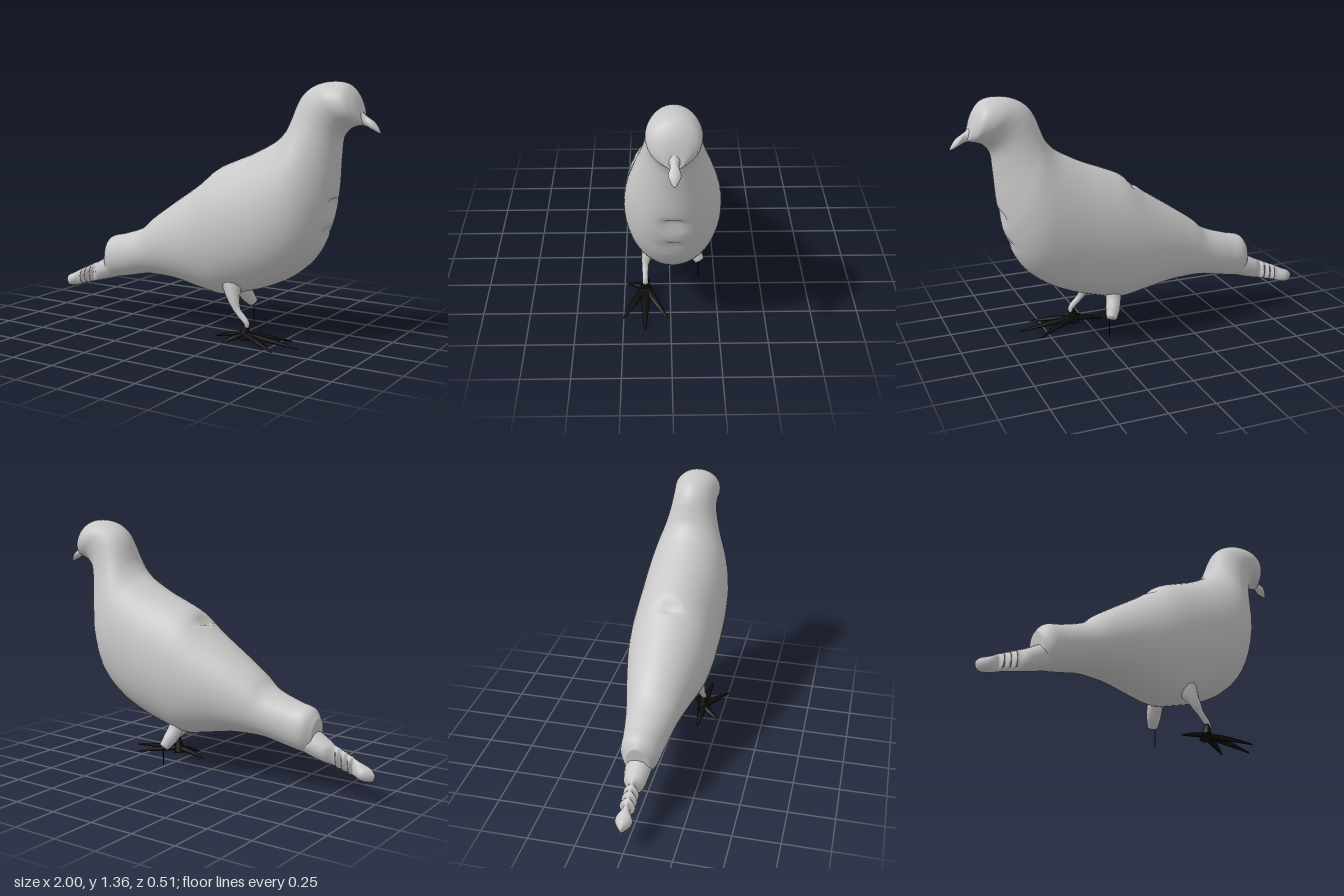
import * as THREE from 'three';

const plumage = new THREE.MeshStandardMaterial({ color: 0xc8c8c8 });
plumage.name = 'pale grey';
const claw = new THREE.MeshStandardMaterial({ color: 0x0c0c0c });
claw.name = 'black';

const V = (x, y, z = 0) => new THREE.Vector3(x, y, z);

// Skin over elliptical rings {c, a, b}: centre and the two half axes; both ends are closed.
function loft(rings, sides, rule) {
  const zero = V(0, 0, 0);
  const first = rings[0], last = rings[rings.length - 1];
  const all = [{ c: first.c, a: zero, b: zero }, ...rings, { c: last.c, a: zero, b: zero }];
  const pos = [], index = [];
  for (const { c, a, b } of all) {
    for (let j = 0; j < sides; j++) {
      const t = (j / sides) * Math.PI * 2;
      const p = c.clone().addScaledVector(a, Math.cos(t)).addScaledVector(b, Math.sin(t));
      if (rule) rule(p, c);
      pos.push(p.x, p.y, p.z);
    }
  }
  for (let i = 0; i < all.length - 1; i++) {
    for (let j = 0; j < sides; j++) {
      const k = (j + 1) % sides;
      const p = i * sides + j, q = i * sides + k;
      if (i > 0) index.push(p, q, p + sides);
      if (i < all.length - 2) index.push(q, q + sides, p + sides);
    }
  }
  // the first strip is a fan from the collapsed ring
  for (let j = 0; j < sides; j++) index.push(j, sides + (j + 1) % sides, sides + j);
  const g = new THREE.BufferGeometry();
  g.setAttribute('position', new THREE.Float32BufferAttribute(pos, 3));
  g.setIndex(index.slice(0));
  g.computeVertexNormals();
  return g;
}

// Rows of [topX, topY, bottomX, bottomY, halfWidth], smoothed into rings.
function profile(rows, steps, z = -0.01) {
  const curve = (f) => new THREE.CatmullRomCurve3(rows.map(f));
  const top = curve((r) => V(r[0], r[1])), low = curve((r) => V(r[2], r[3]));
  const wide = curve((r, i) => V(i * 0.1, r[4]));
  return Array.from({ length: steps + 1 }, (_, i) => {
    const t = i / steps, p = top.getPoint(t), q = low.getPoint(t);
    const c = p.clone().add(q).multiplyScalar(0.5);
    c.z = z;
    return { c, a: p.sub(q).multiplyScalar(0.5), b: V(0, 0, wide.getPoint(t).y) };
  });
}

// Tapered limb through points with a radius at each one.
function limb(points, radii, steps = 12, sides = 10, flat = 1) {
  const curve = new THREE.CatmullRomCurve3(points);
  const rings = [];
  for (let i = 0; i <= steps; i++) {
    const t = i / steps, f = t * (radii.length - 1), k = Math.min(Math.floor(f), radii.length - 2);
    const r = THREE.MathUtils.lerp(radii[k], radii[k + 1], f - k);
    const dir = curve.getTangent(t);
    const side = Math.abs(dir.y) > 0.9 ? V(1, 0, 0) : V(0, 1, 0);
    const a = side.addScaledVector(dir, -side.dot(dir)).normalize();
    const b = dir.clone().cross(a);
    rings.push({ c: curve.getPoint(t), a: a.multiplyScalar(r * flat), b: b.multiplyScalar(r) });
  }
  return loft(rings, sides);
}

export function createModel() {
  const bird = new THREE.Group();
  bird.name = 'bird';
  const add = (name, geometry, material, parent = bird) => {
    const m = new THREE.Mesh(geometry, material);
    m.name = name;
    parent.add(m);
  };

  // Body, neck and head, from the rump forward
  const bodyRows = [
    [-0.68, 0.40, -0.655, 0.205, 0.06], [-0.64, 0.45, -0.6, 0.215, 0.10],
    [-0.55, 0.475, -0.5, 0.235, 0.113], [-0.4, 0.53, -0.38, 0.26, 0.135],
    [-0.33, 0.59, -0.28, 0.262, 0.155], [-0.2, 0.68, -0.16, 0.255, 0.187],
    [-0.02, 0.80, 0, 0.225, 0.225], [0.1, 0.895, 0.13, 0.205, 0.24],
    [0.2, 0.94, 0.26, 0.235, 0.246], [0.3, 0.98, 0.4, 0.28, 0.248],
    [0.4, 1.03, 0.54, 0.35, 0.246], [0.47, 1.075, 0.66, 0.46, 0.235],
    [0.515, 1.13, 0.735, 0.63, 0.207], [0.54, 1.19, 0.77, 0.8, 0.17],
    [0.56, 1.245, 0.785, 0.97, 0.142], [0.59, 1.295, 0.80, 1.08, 0.128],
    [0.64, 1.335, 0.835, 1.125, 0.126], [0.72, 1.36, 0.865, 1.14, 0.13],
    [0.82, 1.352, 0.885, 1.145, 0.115], [0.87, 1.30, 0.90, 1.147, 0.08],
    [0.895, 1.24, 0.915, 1.148, 0.045],
  ];
  // Small creases pressed into breast and back: centre, reach per axis, depth
  const dents = [
    [V(0.745, 0.73, -0.01), V(0.1, 0.05, 0.09), 0.05],
    [V(0.70, 0.59, -0.01), V(0.1, 0.025, 0.1), 0.04],
    [V(0.04, 0.85, -0.01), V(0.03, 0.1, 0.09), 0.04],
  ];
  const press = (p, c) => {
    for (const [o, reach, depth] of dents) {
      const d = p.clone().sub(o).divide(reach).length();
      if (d < 1) p.addScaledVector(c.clone().sub(p).normalize(), depth * (1 - d));
    }
  };
  add('body', loft(profile(bodyRows, 120), 48, press), plumage);

  // Beak, hooked slightly down
  add('beak', loft(profile([
    [0.88, 1.235, 0.88, 1.145, 0.045], [0.92, 1.20, 0.92, 1.145, 0.02],
    [0.96, 1.172, 0.96, 1.128, 0.03], [0.985, 1.145, 0.985, 1.116, 0.018],
    [1.0, 1.118, 0.998, 1.11, 0.004],
  ], 16), 12), plumage);

  // Tail, pinched into folds towards its tip
  const tailRows = [
    [-1.0, 0.16, -0.99, 0.125, 0.006], [-0.975, 0.185, -0.965, 0.118, 0.03],
    [-0.94, 0.20, -0.93, 0.122, 0.045], [-0.885, 0.228, -0.88, 0.137, 0.016],
  ];
  for (let i = 0; i < 6; i++) {
    const x = -0.868 + i * 0.018, rise = x + 0.885;
    tailRows.push([x, 0.228 + rise * 0.46, x, 0.137 + rise * 0.27, i % 2 ? 0.018 : 0.042]);
  }
  tailRows.push([-0.74, 0.295, -0.73, 0.178, 0.055], [-0.66, 0.34, -0.65, 0.2, 0.07],
    [-0.58, 0.38, -0.56, 0.23, 0.07]);
  add('tail', loft(profile(tailRows, 60), 12), plumage);

  // Standing leg on the +z side
  const left = new THREE.Group();
  left.name = 'leftLeg';
  bird.add(left);
  add('leftShank', limb(
    [V(0.22, 0.31, 0.09), V(0.255, 0.215, 0.125), V(0.285, 0.16, 0.135), V(0.34, 0.1, 0.135), V(0.335, 0.08, 0.135)],
    [0.06, 0.032, 0.018, 0.016, 0.016], 16), plumage, left);
  add('leftAnkle', limb([V(0.335, 0.1, 0.135), V(0.33, 0.06, 0.135), V(0.325, 0.014, 0.135)],
    [0.014, 0.024, 0.036], 6), claw, left);
  const toes = [[0.64, 0.135], [0.55, 0.252], [0.55, 0.018], [0.155, 0.135], [0.25, 0.235]];
  for (const [x, z] of toes) {
    const mid = V((x + 0.325) / 2, 0.027, (z + 0.135) / 2);
    add('leftToe', limb([V(0.325, 0.04, 0.135), mid, V(x, 0.007, z)], [0.024, 0.02, 0.005], 10, 8, 0.6), claw, left);
  }

  // Tucked leg on the -z side, with a thin rod below
  add('rightLeg', limb(
    [V(0.17, 0.29, -0.07), V(0.175, 0.225, -0.105), V(0.19, 0.18, -0.135), V(0.21, 0.135, -0.165)],
    [0.05, 0.042, 0.04, 0.028], 14), plumage);
  const rod = new THREE.CylinderGeometry(0.003, 0.003, 0.09, 6);
  rod.translate(0.22, 0.075, -0.157);
  add('rightShank', rod, claw);

  return bird;
}
